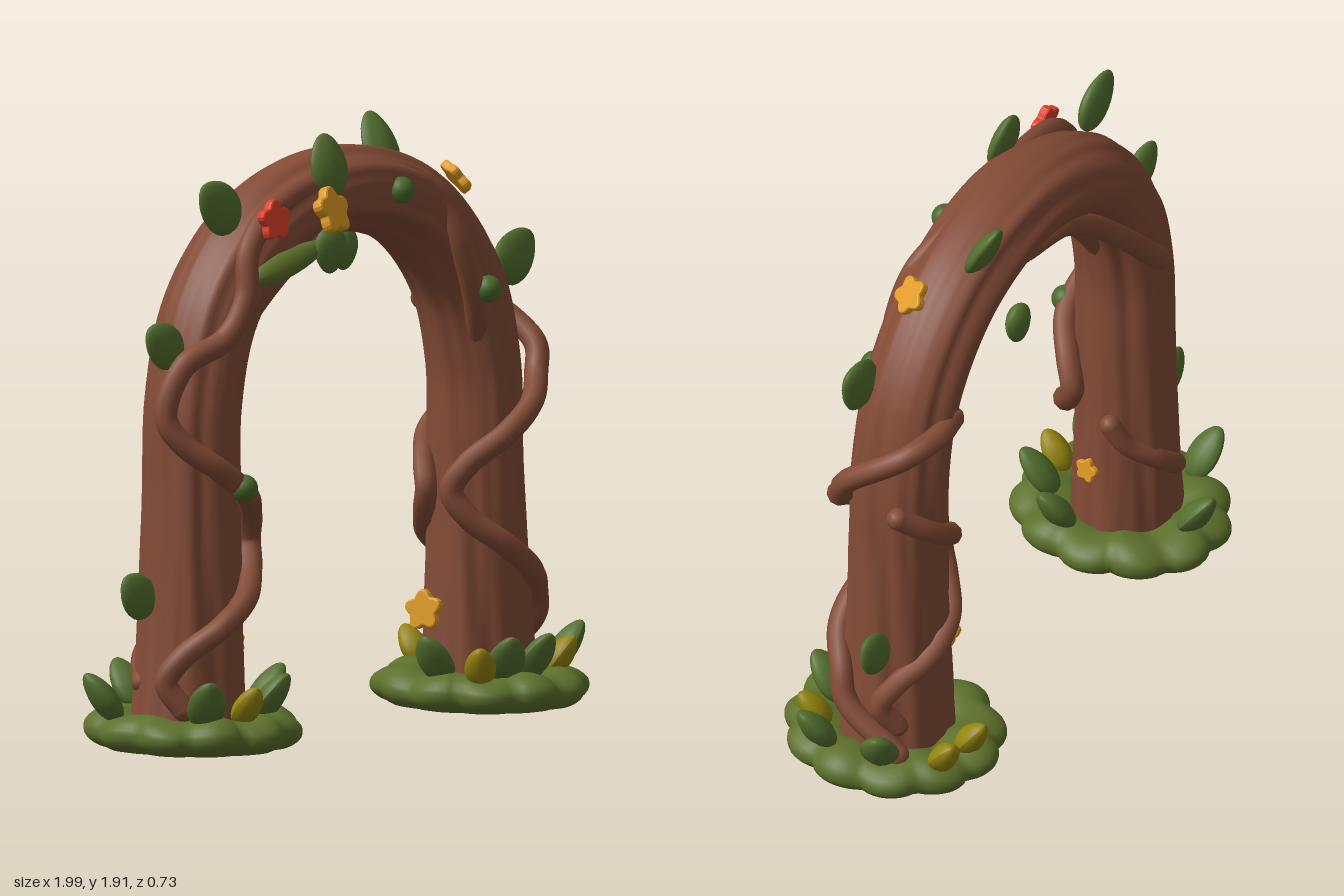
import * as THREE from 'three';

const paint = (name, color) => Object.assign(new THREE.MeshStandardMaterial({ color }), { name });
const V = (a) => new THREE.Vector3(...a);
const curve = (pts) => new THREE.CatmullRomCurve3(pts.map(V));

// Surface from closed cross-sections: at(u, angle) gives a point
function loft(rows, cols, at) {
  const pos = [], idx = [];
  for (let i = 0; i <= rows; i++)
    for (let j = 0; j < cols; j++) pos.push(...at(i / rows, (j / cols) * Math.PI * 2));
  for (let i = 0; i < rows; i++)
    for (let j = 0; j < cols; j++) {
      const a = i * cols + j, b = i * cols + ((j + 1) % cols);
      idx.push(a, b, a + cols, b, b + cols, a + cols);
    }
  const g = new THREE.BufferGeometry();
  g.setAttribute('position', new THREE.Float32BufferAttribute(pos, 3));
  g.setIndex(idx);
  g.computeVertexNormals();
  return g;
}

// Plump leaf along +y with a narrowed tip and a soft ridge, flat in z
function leafGeometry() {
  const g = new THREE.SphereGeometry(1, 16, 12), p = g.attributes.position;
  for (let i = 0; i < p.count; i++) {
    const y = p.getY(i), w = 1.02 - 0.16 * y - 0.06 * y * y;
    p.setXYZ(i, p.getX(i) * w, y, p.getZ(i) * w * (1 - 0.2 * Math.abs(p.getX(i))));
  }
  g.computeVertexNormals();
  return g;
}

// Five full, rounded petals in one plate
function flowerGeometry() {
  const pts = [];
  for (let i = 0; i < 50; i++) {
    const a = (i / 50) * Math.PI * 2, r = 0.8 + 0.14 * Math.cos(5 * (a - Math.PI / 2));
    pts.push(new THREE.Vector2(r * Math.cos(a), r * Math.sin(a)));
  }
  const g = new THREE.ExtrudeGeometry(new THREE.Shape(pts), {
    depth: 0.25, bevelEnabled: true, bevelSize: 0.1, bevelThickness: 0.12, bevelSegments: 2 });
  return g.translate(0, 0, -0.12);
}

// Vine swinging from the outside of a leg to the inside and back, on its front or back
function swing(leg, side, reach, y0, rise, from, to) {
  const pts = [];
  for (let t = from; t <= to + 0.01; t += 0.2) {
    const a = t * Math.PI;
    pts.push([leg * (0.66 + reach * Math.cos(a)), y0 + rise * t, side * (0.06 + 0.12 * Math.sin(a) ** 2)]);
  }
  return pts;
}

export function createModel() {
  const root = new THREE.Group();
  root.name = 'vineArch';
  const bark = paint('bark brown', 0x834b36);
  const moss = paint('moss green', 0x5d712c), leafMat = paint('leaf green', 0x546f2f);
  const budMat = paint('bud green', 0x49692a), gold = paint('golden sprout', 0x94840c);
  const orange = paint('flower orange', 0xdf9a22), red = paint('flower red', 0xe23f28);
  const add = (name, geo, mat, parent = root) => {
    const m = new THREE.Mesh(geo, mat);
    m.name = name;
    parent.add(m);
    return m;
  };
  // Aim local +y along dir and local +z towards face
  const aim = (m, dir, face) => {
    const y = V(dir).normalize(), x = y.clone().cross(V(face)).normalize();
    m.quaternion.setFromRotationMatrix(new THREE.Matrix4().makeBasis(x, y, x.clone().cross(y)));
  };

  // Arched trunk with lengthwise bark ridges, its centre line mirrored from one half
  const half = [[-0.67, 0.02, 0], [-0.662, 0.4, 0], [-0.657, 0.8, 0], [-0.647, 1.1, 0],
    [-0.57, 1.37, 0], [-0.38, 1.588, 0], [-0.12, 1.695, 0]];
  const spine = curve([...half, ...half.map(([x, y, z]) => [-x, y, z]).reverse()]);
  add('trunk', loft(110, 64, (u, a) => {
    const p = spine.getPointAt(u), t = spine.getTangentAt(u);
    const flare = 0.065 * Math.abs(2 * u - 1) ** 5;
    const tw = a + 0.35 * Math.sin(u * 7);
    const k = 1 + 0.03 * Math.cos(7 * tw) + 0.02 * Math.cos(11 * tw + 9 * u) + 0.012 * Math.sin(18 * a + 5 * u);
    const n = (0.136 + flare) * k * Math.cos(a), z = (0.158 + flare * 0.3) * k * Math.sin(a);
    return [p.x - t.y * n, p.y + t.x * n, z - 0.014];
  }), bark);

  // Creeping vines, rounded at both ends
  const addVine = (name, r, pts) => {
    add(name, new THREE.TubeGeometry(curve(pts), pts.length * 8, r, 10), bark);
    for (const e of [pts[0], pts[pts.length - 1]])
      add(name + 'End', new THREE.SphereGeometry(r, 10, 8), bark).position.set(...e);
  };
  addVine('rightFrontVine', 0.038, [...swing(-1, 1, 0.192, 0.23, 0.42, -0.2, 2),
    [-0.79, 1.23, 0.08], [-0.65, 1.31, 0.13], [-0.575, 1.43, 0.145], [-0.54, 1.57, 0.125], [-0.43, 1.68, 0.11],
    [-0.2, 1.75, 0.085], [0.05, 1.768, 0.06], [0.25, 1.735, 0.065], [0.37, 1.65, 0.11],
    [0.425, 1.49, 0.145], [0.515, 1.3, 0.12], [0.58, 1.16, 0.07]]);
  addVine('leftFrontVine', 0.038, [[0.85, 0.13, -0.13], ...swing(1, 1, 0.192, 0.27, 0.435, 0, 2),
    [0.8, 1.27, -0.12], [0.68, 1.3, -0.17], [0.56, 1.29, -0.15]]);
  addVine('leftBackVine', 0.036, swing(1, -1, 0.18, 0.29, 0.41, -0.2, 1.8));
  addVine('rightBackVine', 0.034, swing(-1, -1, 0.16, 0.13, 0.4, 0.2, 1));
  addVine('archBackVine', 0.038, [[0.1, 1.64, -0.12], [-0.12, 1.6, -0.125], [-0.29, 1.49, -0.13],
    [-0.45, 1.34, -0.15], [-0.61, 1.17, -0.17]]);
  addVine('archUnderVine', 0.045, [[0, 1.66, 0.06], [-0.2, 1.57, 0.06], [-0.33, 1.45, 0.02],
    [-0.45, 1.32, 0], [-0.58, 1.14, 0]]);

  // Lumpy moss cushions around both feet
  const ring = curve([[0.14, 0.1, 0], [0.22, 0.125, 0], [0.28, 0.12, 0], [0.325, 0.085, 0],
    [0.325, 0.045, 0], [0.285, 0.012, 0], [0.16, 0.002, 0]]);
  for (const s of [-1, 1]) {
    const g = new THREE.Group();
    g.name = s < 0 ? 'rightFoot' : 'leftFoot';
    g.position.x = s * 0.667;
    root.add(g);
    add('mossCushion', loft(18, 96, (u, a) => {
      const p = ring.getPoint(u), lobe = Math.abs(Math.sin(5.5 * a + s)) ** 0.7;
      const k = 1 + (0.1 * lobe - 0.075) * Math.min(1, p.x * 3.2) + 0.012 * Math.sin(3 * a + s);
      const y = p.y * (0.94 + 0.07 * Math.sin(7 * a + s) + 0.05 * lobe);
      return [p.x * k * 0.97 * Math.cos(a), y, p.x * k * 1.08 * Math.sin(a)];
    }), moss, g);
    const sole = add('trunkSole', new THREE.CircleGeometry(0.175, 32), bark, g);
    sole.rotation.x = Math.PI / 2;
  }

  // Moss streak on the front of the arch
  const leaf = leafGeometry();
  const streak = add('mossStreak', leaf, moss);
  streak.position.set(-0.37, 1.525, 0.145);
  streak.scale.set(0.043, 0.185, 0.04);
  aim(streak, [1, 0.26, 0], [0, 0, 1]);

  // Leaves on the arch: x, y, z, tilt in degrees, half length, half width, backward lean
  for (const [x, y, z, tilt, l, w, lean = 0] of [
    [-0.595, 1.715, 0.05, -49, 0.105, 0.078], [-0.165, 1.812, 0.12, 0, 0.1, 0.076, 0.25],
    [0.34, 1.805, -0.13, 5, 0.11, 0.07, 0.55], [-0.21, 1.55, 0.17, 183, 0.075, 0.066],
    [0.24, 1.475, -0.19, 183, 0.07, 0.056], [0.725, 1.43, 0.095, 49, 0.1, 0.083],
    [-0.835, 1.3, 0.035, -53, 0.09, 0.07], [-0.865, 0.5, -0.05, -45, 0.085, 0.068],
    [0.86, 0.51, -0.05, 37, 0.088, 0.066]]) {
    const m = add('leaf', leaf, leafMat), a = THREE.MathUtils.degToRad(tilt);
    m.position.set(x, y, z);
    m.scale.set(w, l, 0.035);
    aim(m, [Math.sin(a), Math.cos(a), -lean], [0, lean, 1]);
  }

  // Sprouts leaning out of the moss at x, z
  const sprout = (name, mat, l, spots) => {
    for (const [x, z] of spots) {
      const out = new THREE.Vector3(x - Math.sign(x) * 0.667, 0, z).normalize();
      const m = add(name, leaf, mat);
      m.position.set(x, 0.105 + l * 0.8, z);
      m.scale.set(l * 0.7, l * 1.08, 0.042);
      aim(m, [out.x, 1.3, out.z], [out.x, -0.3, out.z]);
    }
  };
  sprout('mossLeaf', leafMat, 0.088, [[-0.93, -0.14], [-0.65, -0.29], [-0.845, 0.23], [-0.57, 0.25],
    [-0.43, 0.1], [0.41, 0.04], [0.55, 0.22], [0.67, 0.24], [0.92, 0.13], [0.91, -0.1]]);
  sprout('goldenSprout', gold, 0.07, [[-0.7, 0.27], [0.45, 0.2], [0.82, 0.2], [0.68, -0.3], [0.81, -0.28]]);

  // Round buds
  for (const [x, y, z] of [[0.15, 1.7, 0.14], [0.525, 1.35, 0.165], [-0.635, 0.84, 0.195]])
    add('bud', new THREE.SphereGeometry(0.043, 16, 12), budMat).position.set(x, y, z);

  // Flowers: centre, facing, radius, colour
  const petals = flowerGeometry();
  for (const [c, f, r, mat] of [
    [[-0.46, 1.668, 0.16], [0, 0.15, 1], 0.064, red],
    [[-0.215, 1.675, 0.18], [0.15, 0.35, 0.9], 0.076, orange],
    [[0.535, 1.69, 0.02], [0.65, 0.6, 0.35], 0.062, orange],
    [[0.44, 0.32, -0.03], [-1, 0.15, 0.2], 0.064, orange],
    [[-0.49, 0.325, 0.02], [1, 0.15, 0.1], 0.04, orange]]) {
    const m = add('flower', petals, mat);
    m.position.set(...c);
    m.scale.setScalar(r);
    m.quaternion.setFromUnitVectors(new THREE.Vector3(0, 0, 1), V(f).normalize());
  }
  return root;
}
